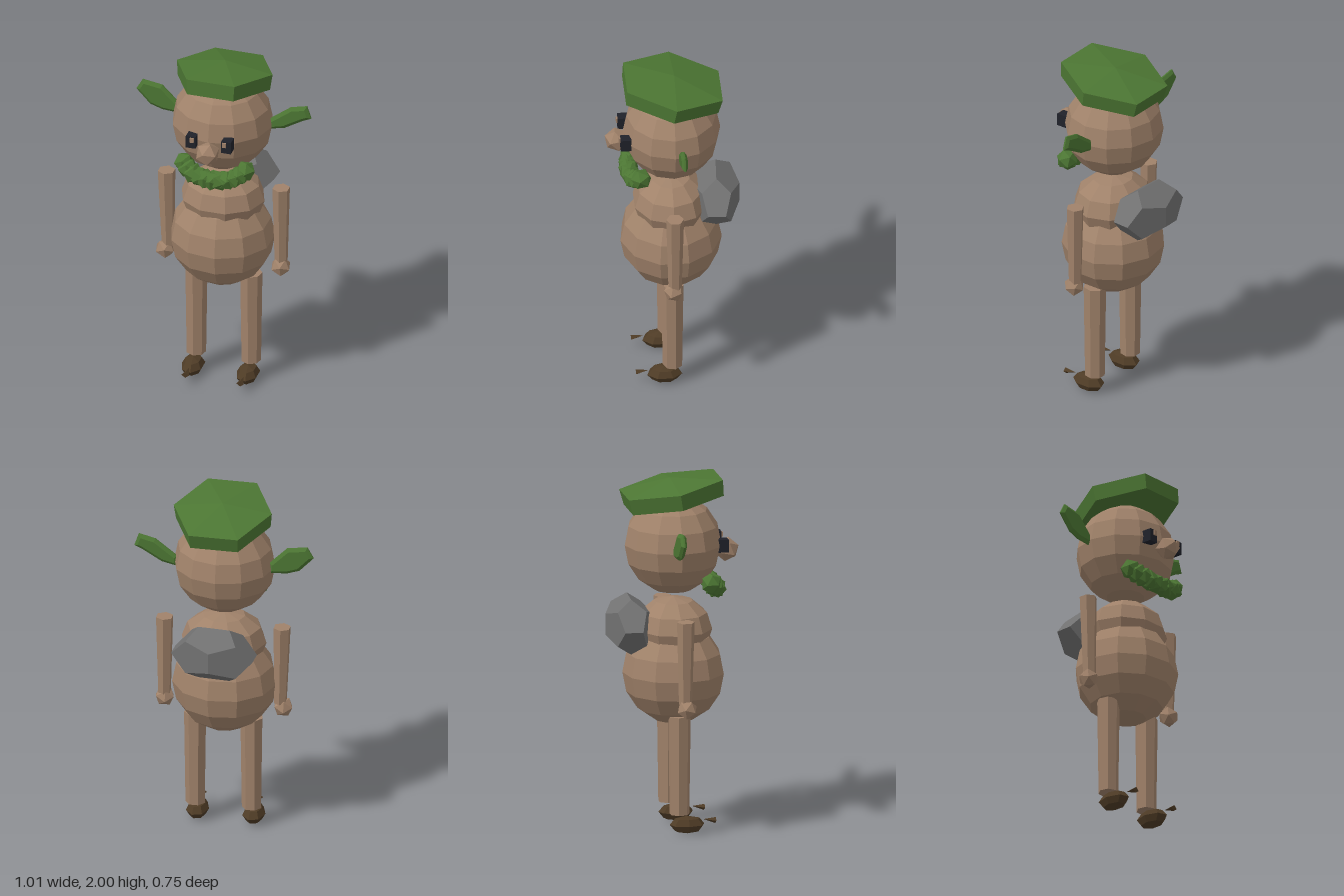
import * as THREE from 'three';

const flat = (name, color) => {
  const m = new THREE.MeshStandardMaterial({ color, flatShading: true });
  m.name = name;
  return m;
};

export function createModel() {
  const model = new THREE.Group();
  model.name = 'figure';
  const bark = flat('tan bark', 0xa0826a);
  const leaf = flat('leaf green', 0x4c7633);
  const stone = flat('stone grey', 0x717171);
  const soil = flat('dark brown', 0x4f3c26);
  const dark = flat('eye black', 0x20222a);

  function add(name, geometry, material, x, y, z, sx = 1, sy = 1, sz = 1) {
    const mesh = new THREE.Mesh(geometry, material);
    mesh.name = name;
    mesh.position.set(x, y, z);
    mesh.scale.set(sx, sy, sz);
    model.add(mesh);
    return mesh;
  }

  // Stacked round body
  add('belly', new THREE.SphereGeometry(1, 11, 8), bark, 0, 0.89, 0.01, 0.295, 0.29, 0.285);
  add('chest', new THREE.SphereGeometry(1, 10, 6), bark, 0.005, 1.14, 0.01, 0.24, 0.18, 0.215);
  add('head', new THREE.SphereGeometry(1, 12, 8), bark, 0, 1.62, 0.005, 0.285, 0.28, 0.272);

  // Tilted hexagonal cap with a shallow crown
  const capProfile = [[0, -0.045], [0.268, -0.045], [0.278, 0.045], [0, 0.088]]
    .map(([x, y]) => new THREE.Vector2(x, y));
  const cap = add('cap', new THREE.LatheGeometry(capProfile, 6, Math.PI / 2), leaf, 0.01, 1.908, 0.005, 1, 1, 1.12);
  cap.rotation.x = -0.17;

  // Leaf-shaped ears
  function ear(name, outline) {
    const shape = new THREE.Shape(outline.map(([x, y]) => new THREE.Vector2(x, y)));
    const geometry = new THREE.ExtrudeGeometry(shape, {
      depth: 0.008, bevelThickness: 0.013, bevelSize: 0.018, bevelOffset: -0.018, bevelSegments: 1,
    });
    add(name, geometry, leaf, 0, 0, -0.033);
  }
  ear('leftEar', [[0.26, 1.59], [0.35, 1.61], [0.46, 1.675], [0.505, 1.695], [0.48, 1.768], [0.385, 1.745], [0.26, 1.65]]);
  ear('rightEar', [[-0.26, 1.60], [-0.26, 1.66], [-0.36, 1.76], [-0.475, 1.778], [-0.51, 1.715], [-0.43, 1.63], [-0.36, 1.607]]);

  // Face
  for (const [side, x, glint] of [['left', 0.111, 0.101], ['right', -0.095, -0.087]]) {
    add(side + 'Eye', new THREE.BoxGeometry(0.056, 0.072, 0.06), dark, x, 1.619, 0.268);
    add(side + 'EyeGlint', new THREE.BoxGeometry(0.022, 0.028, 0.009), bark, glint, 1.636, 0.302);
  }
  add('nose', new THREE.IcosahedronGeometry(1, 0), bark, 0.008, 1.572, 0.31, 0.07, 0.068, 0.072)
    .rotation.set(0.2, 0, 0.3);

  // Beard made of overlapping leafy tufts along a hanging arc
  const beard = new THREE.CatmullRomCurve3([
    [-0.165, 1.42, 0.19], [-0.11, 1.385, 0.225], [0.01, 1.367, 0.245], [0.13, 1.385, 0.225], [0.19, 1.425, 0.19],
  ].map((p) => new THREE.Vector3(...p)));
  const tuft = new THREE.IcosahedronGeometry(0.06, 0);
  for (let i = 0; i <= 10; i++) {
    const p = beard.getPointAt(i / 10);
    add('beardTuft', tuft, leaf, p.x, p.y, p.z).rotation.set(i * 0.9, i * 1.7, i * 0.5);
  }

  // Arms and hands
  for (const [side, x, lean] of [['left', 0.343, 0], ['right', -0.318, -0.035]]) {
    const arm = add(side + 'Arm', new THREE.CylinderGeometry(0.05, 0.037, 0.47, 6), bark, x, 1.01, 0.014);
    arm.rotation.z = -lean * 0.6;
    add(side + 'Hand', new THREE.IcosahedronGeometry(0.058, 0), bark, x + (side === 'left' ? 0 : -0.01), 0.747, 0.021)
      .rotation.set(0.3, 0.2, 0);
  }

  // Legs, feet and toe tips
  for (const [side, x] of [['left', 0.167], ['right', -0.152]]) {
    add(side + 'Leg', new THREE.CylinderGeometry(0.064, 0.056, 0.56, 7), bark, x, 0.392, 0.012);
    add(side + 'Foot', new THREE.SphereGeometry(1, 7, 4), soil, x - 0.003, 0.05, 0.057, 0.064, 0.05, 0.1);
    const toe = add(side + 'Toe', new THREE.ConeGeometry(0.022, 0.07, 4), soil, x, 0.072, 0.182, 1, 1, 0.8);
    toe.rotation.x = -1.45;
  }

  // Boulder carried on the back
  add('boulder', new THREE.DodecahedronGeometry(1, 0), stone, 0.01, 1.172, -0.242, 0.25, 0.168, 0.14)
    .rotation.y = -0.06;

  return model;
}
